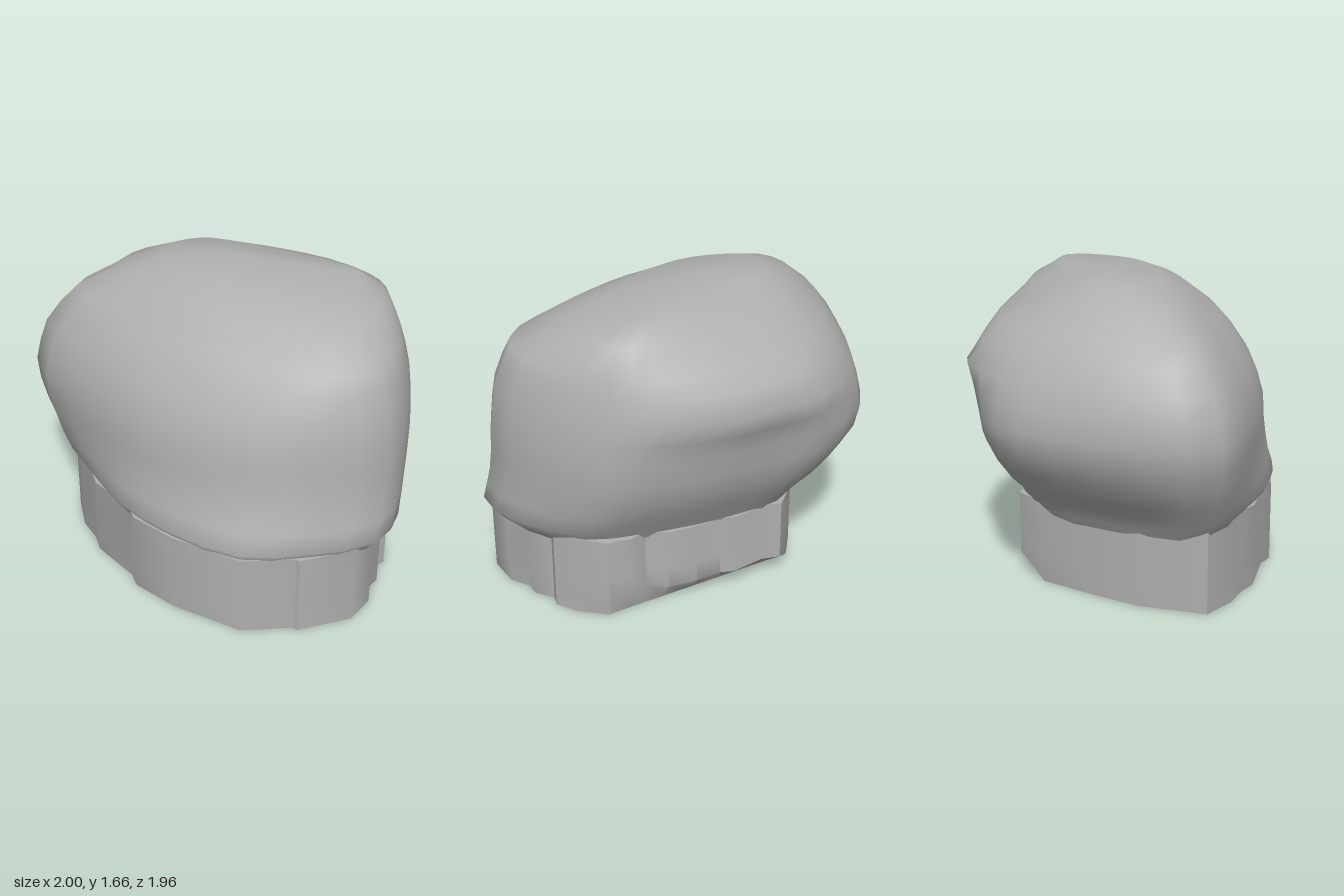
import * as THREE from 'three';
import { toCreasedNormals } from 'three/addons/utils/BufferGeometryUtils.js';

// Horizontal outlines as [x, z], running from +x round through +z
const foot = [
  [0.92, 0.28], [0.87, 0.68], [0.7, 0.91], [0.33, 0.97], [0, 0.95], [-0.34, 0.71], [-0.58, 0.43], [-0.76, 0.05],
  [-0.85, -0.28], [-0.6, -0.48], [-0.28, -0.6], [0.02, -0.67], [0.28, -0.62], [0.44, -0.47], [0.62, -0.26], [0.8, 0.02],
];
const waist = [
  [1, 0.1], [0.94, 0.5], [0.77, 0.81], [0.42, 0.89], [0.06, 0.83], [-0.31, 0.62], [-0.58, 0.36], [-0.83, 0],
  [-1, -0.38], [-0.75, -0.68], [-0.31, -0.9], [0.02, -0.98], [0.35, -0.84], [0.52, -0.64], [0.73, -0.41], [0.91, -0.13],
];
const brow = [
  [0.98, 0.1], [0.92, 0.48], [0.75, 0.78], [0.43, 0.85], [0.11, 0.77], [-0.25, 0.56], [-0.53, 0.3], [-0.77, -0.04],
  [-0.93, -0.38], [-0.7, -0.65], [-0.3, -0.84], [0.04, -0.92], [0.42, -0.85], [0.6, -0.7], [0.79, -0.47], [0.94, -0.16],
];
const shoulder = [
  [0.92, 0.1], [0.87, 0.44], [0.69, 0.71], [0.44, 0.75], [0.17, 0.64], [-0.13, 0.45], [-0.39, 0.2], [-0.6, -0.06],
  [-0.76, -0.35], [-0.59, -0.55], [-0.28, -0.7], [0.02, -0.75], [0.32, -0.7], [0.51, -0.58], [0.72, -0.37], [0.87, -0.12],
];
const crown = [
  [0.86, 0.1], [0.8, 0.3], [0.65, 0.47], [0.44, 0.52], [0.21, 0.44], [-0.03, 0.31], [-0.24, 0.13], [-0.4, -0.06],
  [-0.51, -0.3], [-0.44, -0.45], [-0.26, -0.54], [-0.02, -0.57], [0.19, -0.51], [0.39, -0.41], [0.62, -0.26], [0.8, -0.06],
];
const ridge = [
  [0.72, 0.08], [0.64, 0.19], [0.5, 0.25], [0.36, 0.27], [0.19, 0.23], [0.02, 0.15], [-0.12, 0.05], [-0.22, -0.08],
  [-0.28, -0.24], [-0.24, -0.36], [-0.14, -0.42], [0, -0.42], [0.14, -0.35], [0.28, -0.26], [0.46, -0.16], [0.65, -0.03],
];
// Stepped outline of the vertical foot
const skirt = [
  [0.9, 0.15], [0.9, 0.33], [0.87, 0.46], [0.82, 0.49], [0.8, 0.61], [0.75, 0.66], [0.72, 0.78], [0.6, 0.91], [0.3, 0.97],
  [0.28, 0.95], [0, 0.94], [-0.33, 0.71], [-0.52, 0.51], [-0.54, 0.42], [-0.71, 0.17], [-0.73, 0.06], [-0.79, -0.08],
  [-0.81, -0.28], [-0.5, -0.47], [-0.2, -0.56], [0.1, -0.64], [0.29, -0.63], [0.34, -0.54], [0.49, -0.42], [0.52, -0.35],
  [0.62, -0.25], [0.72, -0.12], [0.74, 0], [0.83, 0.05], [0.87, 0.12],
];

const blend = (a, b, t) => a.map(([x, z], i) => [x + (b[i][0] - x) * t, z + (b[i][1] - z) * t]);
const shrink = (a, s) => a.map(([x, z]) => [x * s, z * s]);

// Rounds an outline into twice as many points at height y
function ring(y, outline) {
  const curve = new THREE.CatmullRomCurve3(outline.map(([x, z]) => new THREE.Vector3(x, y, z)), true);
  return outline.flatMap((_, i) => [curve.getPoint(i / outline.length), curve.getPoint((i + 0.5) / outline.length)]);
}

// Joins rings of equal length into a closed skin with a point on top
function loft(rings, peak) {
  const n = rings[0].length;
  const index = [];
  const top = rings.length * n;
  for (let i = 0; i < n; i++) {
    const k = (i + 1) % n;
    for (let j = 0; j < rings.length - 1; j++) {
      const a = j * n + i, b = j * n + k;
      index.push(a, a + n, b, b, a + n, b + n);
    }
    index.push(top, top - n + k, top - n + i);
  }
  const g = new THREE.BufferGeometry().setFromPoints([...rings.flat(), peak]);
  g.setIndex(index);
  g.computeVertexNormals();
  return g;
}

// Upright prism, chamfered along its bottom edge on the back right
function stepped(outline, height) {
  const shape = new THREE.Shape(outline.map(([x, z]) => new THREE.Vector2(x, -z)));
  const g = new THREE.ExtrudeGeometry(shape, { depth: height, steps: 4, bevelEnabled: false });
  g.rotateX(-Math.PI / 2);
  const p = g.attributes.position;
  for (let i = 0; i < p.count; i++) {
    const over = p.getX(i) - p.getZ(i) - 0.72;
    if (p.getY(i) < 0.01 && over > 0) {
      p.setX(i, p.getX(i) - over / 2);
      p.setZ(i, p.getZ(i) + over / 2);
    }
  }
  return toCreasedNormals(g, 0.75);
}

export function createModel() {
  const group = new THREE.Group();
  group.name = 'boulder';
  const stone = new THREE.MeshStandardMaterial({ color: 0xb0b0b0 });
  stone.name = 'grey stone';

  // Smooth leaning body, overhanging its foot at the back
  const body = new THREE.Mesh(loft([
    ring(0.32, shrink(foot, 0.85)),
    ring(0.43, shrink(foot, 0.95)),
    ring(0.5, foot),
    ring(0.6, blend(foot, waist, 0.38)),
    ring(0.72, blend(foot, waist, 0.7)),
    ring(0.84, blend(foot, waist, 0.92)),
    ring(0.96, waist),
    ring(1.08, blend(waist, brow, 0.4)),
    ring(1.2, brow),
    ring(1.32, blend(brow, shoulder, 0.5)),
    ring(1.41, shoulder),
    ring(1.55, crown),
    ring(1.63, ridge),
  ], new THREE.Vector3(0.06, 1.66, -0.16)), stone);
  body.name = 'body';
  group.add(body);

  // Upright, stepped foot
  const base = new THREE.Mesh(stepped(skirt, 0.46), stone);
  base.name = 'foot';
  group.add(base);

  return group;
}
